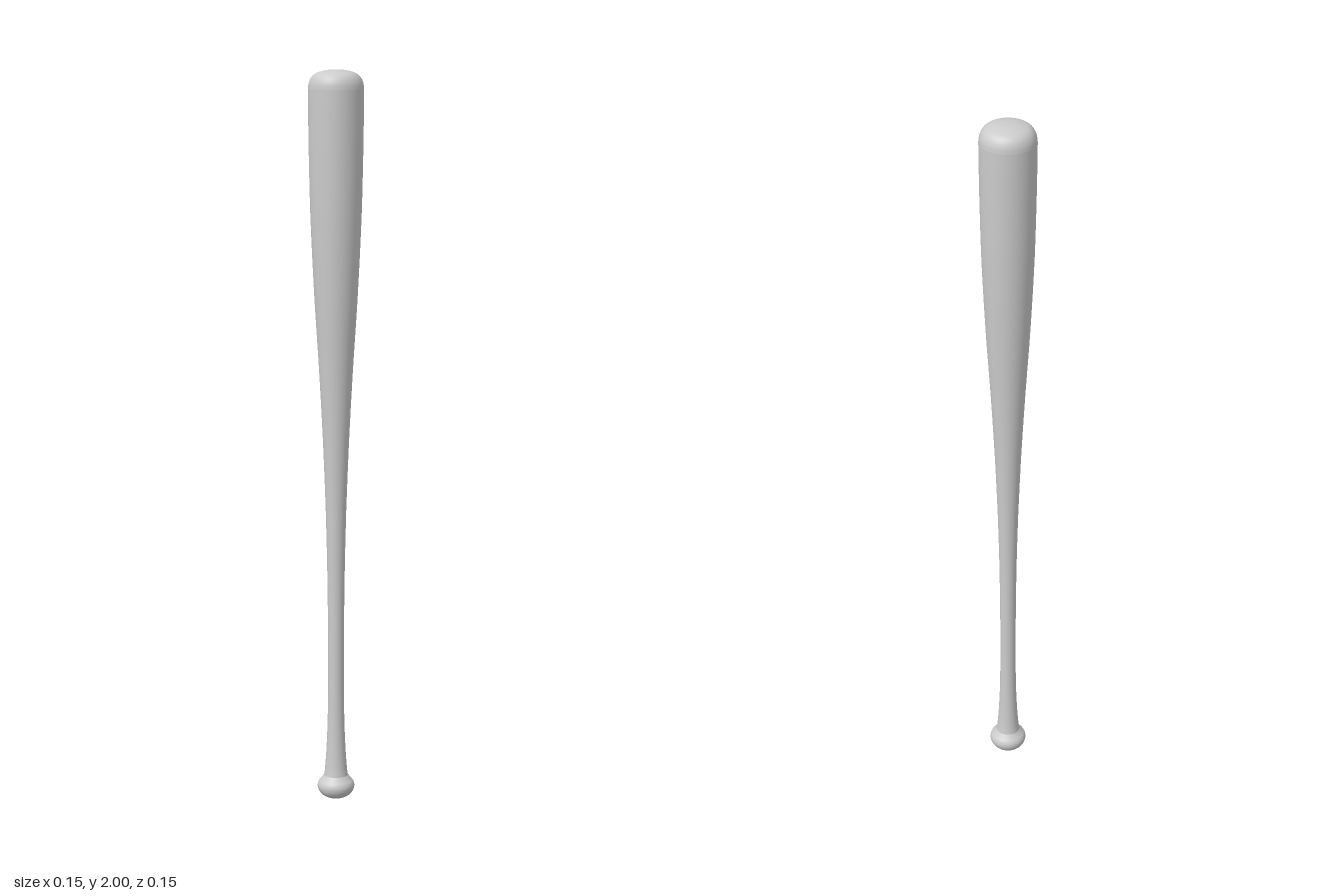
import * as THREE from 'three';

const material = new THREE.MeshStandardMaterial({ color: 0xcccccc });

// Smooth surface of revolution through [radius, height] points, listed bottom to top
function turned(name, points, steps) {
  const curve = new THREE.SplineCurve(points.map(([r, y]) => new THREE.Vector2(r, y)));
  const profile = curve.getPoints(steps);
  profile.forEach((p) => { p.x = Math.max(p.x, 0); });
  const mesh = new THREE.Mesh(new THREE.LatheGeometry(profile, 64), material);
  mesh.name = name;
  return mesh;
}

export function createModel() {
  const bat = new THREE.Group();
  bat.name = 'bat';

  // Rounded knob at the foot of the handle
  bat.add(turned('knob', [
    [0, 0], [0.02, 0.002], [0.037, 0.01], [0.047, 0.021], [0.051, 0.035],
    [0.048, 0.047], [0.04, 0.057], [0.033, 0.066],
  ], 42));

  // Flared grip and thin handle
  bat.add(turned('handle', [
    [0.033, 0.066], [0.03, 0.09], [0.0265, 0.14], [0.0235, 0.21], [0.022, 0.3],
    [0.0218, 0.42], [0.0225, 0.54], [0.0245, 0.68], [0.028, 0.82],
  ], 48));

  // Long taper swelling into the barrel
  bat.add(turned('barrel', [
    [0.028, 0.82], [0.035, 1.0], [0.0455, 1.2], [0.058, 1.4], [0.0675, 1.6],
    [0.0715, 1.75], [0.0735, 1.88], [0.074, 1.95],
  ], 56));

  // Domed end of the barrel
  bat.add(turned('barrelEnd', [
    [0.074, 1.95], [0.072, 1.965], [0.066, 1.979], [0.056, 1.989],
    [0.041, 1.995], [0.022, 1.999], [0, 2],
  ], 36));

  return bat;
}
